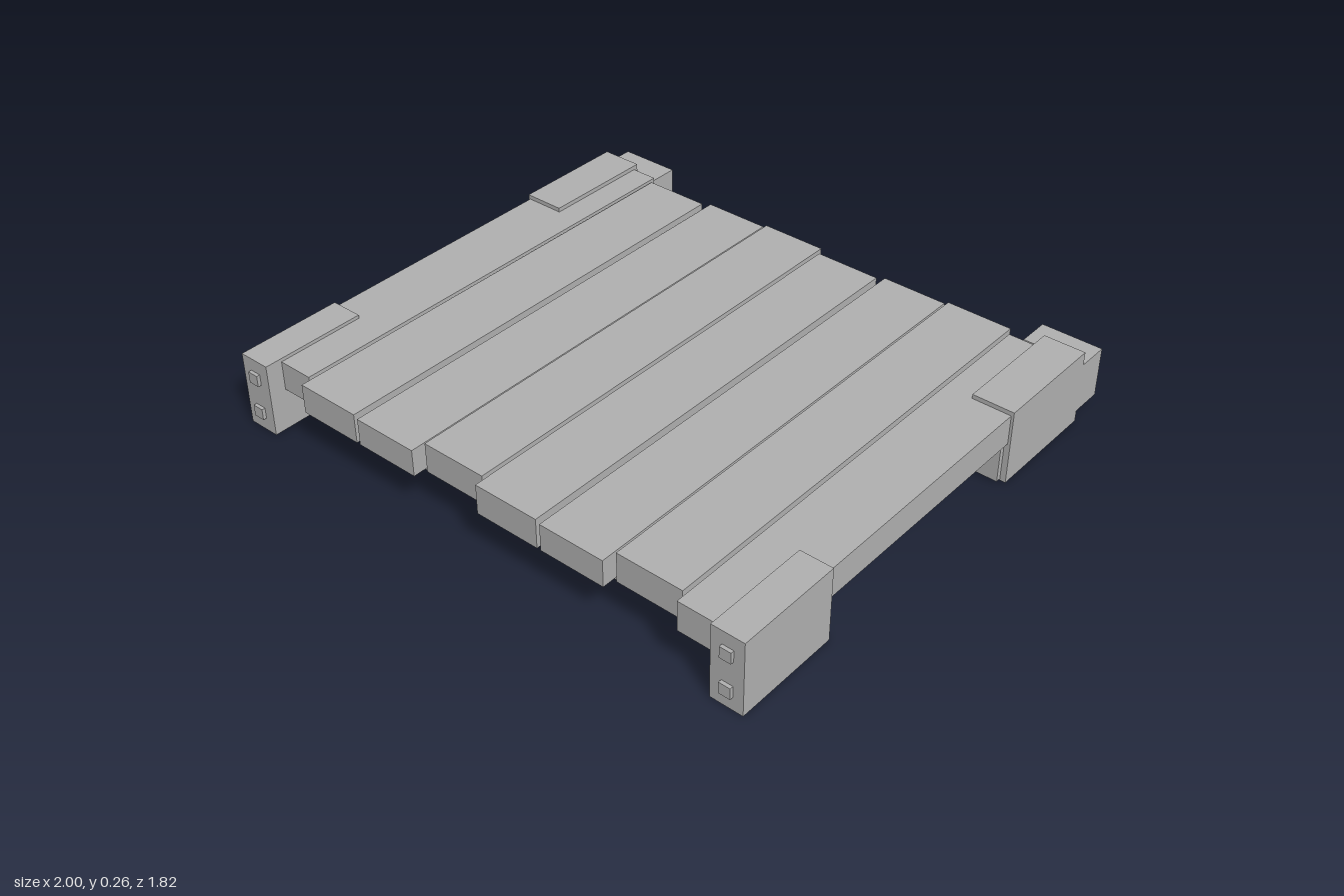
import * as THREE from 'three';

export function createModel() {
  const model = new THREE.Group();
  model.name = 'slattedPlatform';
  const grey = new THREE.MeshStandardMaterial({ color: 0xb0b0b0 });
  grey.name = 'plain grey';

  // box given by its limits on each axis
  function block(name, x0, x1, y0, y1, z0, z1) {
    const mesh = new THREE.Mesh(new THREE.BoxGeometry(x1 - x0, y1 - y0, z1 - z0), grey);
    mesh.position.set((x0 + x1) / 2, (y0 + y1) / 2, (z0 + z1) / 2);
    mesh.name = name;
    model.add(mesh);
  }

  // deck planks with staggered ends: back z, front z, top y
  const planks = [
    [-0.78, 0.84, 0.25], [-0.75, 0.88, 0.25], [-0.78, 0.88, 0.24], [-0.78, 0.84, 0.25],
    [-0.75, 0.88, 0.25], [-0.78, 0.88, 0.24], [-0.78, 0.84, 0.25], [-0.75, 0.88, 0.25],
  ];
  planks.forEach(([back, front, top], i) => {
    const x = -0.993 + i * 0.2497;
    block('plank' + (i + 1), x, x + 0.236, 0.145, top, back, front);
  });

  // cross beams under the deck
  block('frontBeam', -0.98, 0.98, 0.005, 0.145, 0.55, 0.72);
  block('rearBeam', -0.98, 0.98, 0.005, 0.145, -0.53, -0.365);

  // corner blocks, mirrored left and right
  for (const side of [-1, 1]) {
    const tag = side > 0 ? 'Left' : 'Right';
    const pair = (name, a, b, ...rest) =>
      block(name + tag, Math.min(side * a, side * b), Math.max(side * a, side * b), ...rest);
    pair('frontLeg', 0.885, 1, 0, 0.262, 0.52, 0.9);
    pair('rearLeg', 0.853, 1, 0, 0.265, -0.797, -0.383);
    pair('rearBumper', 0.783, 1, 0.04, 0.218, -0.912, -0.797);
    // square bolt heads on the front
    for (const y of [0.067, 0.195]) {
      pair('bolt', 0.924, 0.964, y - 0.02, y + 0.02, 0.89, 0.912);
    }
  }
  return model;
}
